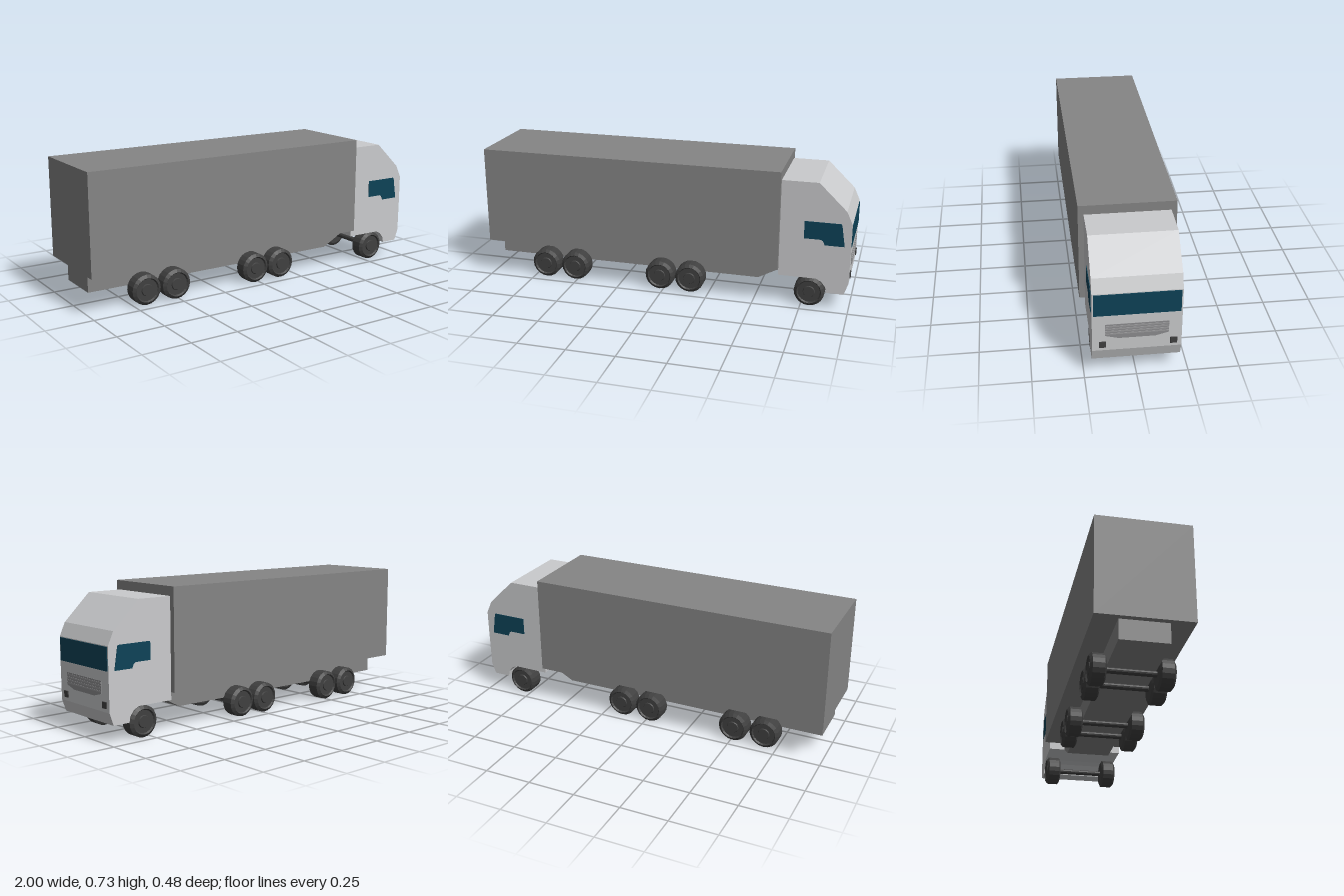
import * as THREE from 'three';

const material = (name, color) => {
  const m = new THREE.MeshStandardMaterial({ color, flatShading: true });
  m.name = name;
  return m;
};

// Closed outline from [x, y] points, extruded along z from z0 to z1
function extrude(points, z0, z1) {
  const shape = new THREE.Shape(points.map(([x, y]) => new THREE.Vector2(x, y)));
  return new THREE.ExtrudeGeometry(shape, { depth: z1 - z0, bevelEnabled: false }).translate(0, 0, z0);
}

export function createModel() {
  const truck = new THREE.Group();
  truck.name = 'truck';
  const grey = material('trailer grey', 0x858585);
  const white = material('cab white', 0xcacbcd);
  const glass = material('window blue', 0x0d4257);
  const dark = material('tyre dark grey', 0x404040);
  const grilleGrey = material('grille grey', 0x8c8c8e);
  const slatGrey = material('slat grey', 0x9c9c9e);

  const add = (name, geometry, mat, parent = truck) => {
    const mesh = new THREE.Mesh(geometry, mat);
    mesh.name = name;
    parent.add(mesh);
    return mesh;
  };
  const box = (x0, x1, y0, y1, z0, z1) =>
    new THREE.BoxGeometry(x1 - x0, y1 - y0, z1 - z0)
      .translate((x0 + x1) / 2, (y0 + y1) / 2, (z0 + z1) / 2);

  // Trailer and the narrower chassis under it
  add('trailerBox', box(-1, 0.63, 0.203, 0.728, -0.24, 0.24), grey);
  add('chassis', extrude([[-0.97, 0.204], [-0.97, 0.098], [0.51, 0.098], [0.63, 0.163], [0.63, 0.204]],
    -0.122, 0.122), grey);

  // Cab with sloping roof and cut-away above the front wheels
  add('cab', extrude([
    [0.63, 0.68], [0.63, 0.163], [0.825, 0.163], [0.855, 0.148], [0.877, 0.12], [0.882, 0.09],
    [0.973, 0.09], [0.994, 0.152], [0.996, 0.345], [0.996, 0.472], [0.965, 0.54], [0.82, 0.68],
  ], -0.212, 0.212), white);

  // Side windows, one on each door
  const sideWindow = [[0.755, 0.473], [0.755, 0.38], [0.842, 0.38], [0.853, 0.373],
    [0.862, 0.352], [0.963, 0.352], [0.945, 0.465], [0.94, 0.473]];
  add('leftWindow', extrude(sideWindow, 0.211, 0.2145), glass);
  add('rightWindow', extrude(sideWindow, -0.2145, -0.211), glass);

  // Windscreen, grille and lamps on the cab front
  add('windscreen', box(0.994, 0.999, 0.352, 0.468, -0.205, 0.205), glass);
  add('grille', extrude([[-0.15, 0.3], [-0.15, 0.237], [-0.088, 0.22], [0.088, 0.22], [0.15, 0.237], [0.15, 0.3]],
    0.992, 0.9975).rotateY(Math.PI / 2), grilleGrey);
  for (let i = 0; i < 4; i++) {
    const y = 0.244 + i * 0.014;
    add('grilleSlat', box(0.994, 0.999, y, y + 0.007, -0.15, 0.15), slatGrey);
  }
  for (const z of [-0.174, 0.163]) {
    add('lamp', box(0.991, 1, 0.171, 0.203, z - 0.0165, z + 0.0165), dark);
  }

  // Wheel profile: tyre with bevelled shoulder, recessed rim and raised hub
  const wheel = new THREE.LatheGeometry([
    [0, 0.127], [0.064, 0.127], [0.08, 0.136], [0.08, 0.196], [0.064, 0.208],
    [0.058, 0.2], [0.032, 0.2], [0.029, 0.206], [0, 0.206],
  ].map(([r, y]) => new THREE.Vector2(r, y)), 20);
  const axle = new THREE.CylinderGeometry(0.015, 0.015, 0.28, 12).rotateX(Math.PI / 2);

  for (const x of [-0.682, -0.51, -0.02, 0.147, 0.793]) {
    const axleSet = new THREE.Group();
    axleSet.name = 'axleSet';
    axleSet.position.set(x, 0.08, -0.003);
    add('axle', axle, dark, axleSet);
    for (const side of [1, -1]) {
      add(side > 0 ? 'leftWheel' : 'rightWheel', wheel, dark, axleSet).rotation.x = side * Math.PI / 2;
    }
    truck.add(axleSet);
  }
  return truck;
}
